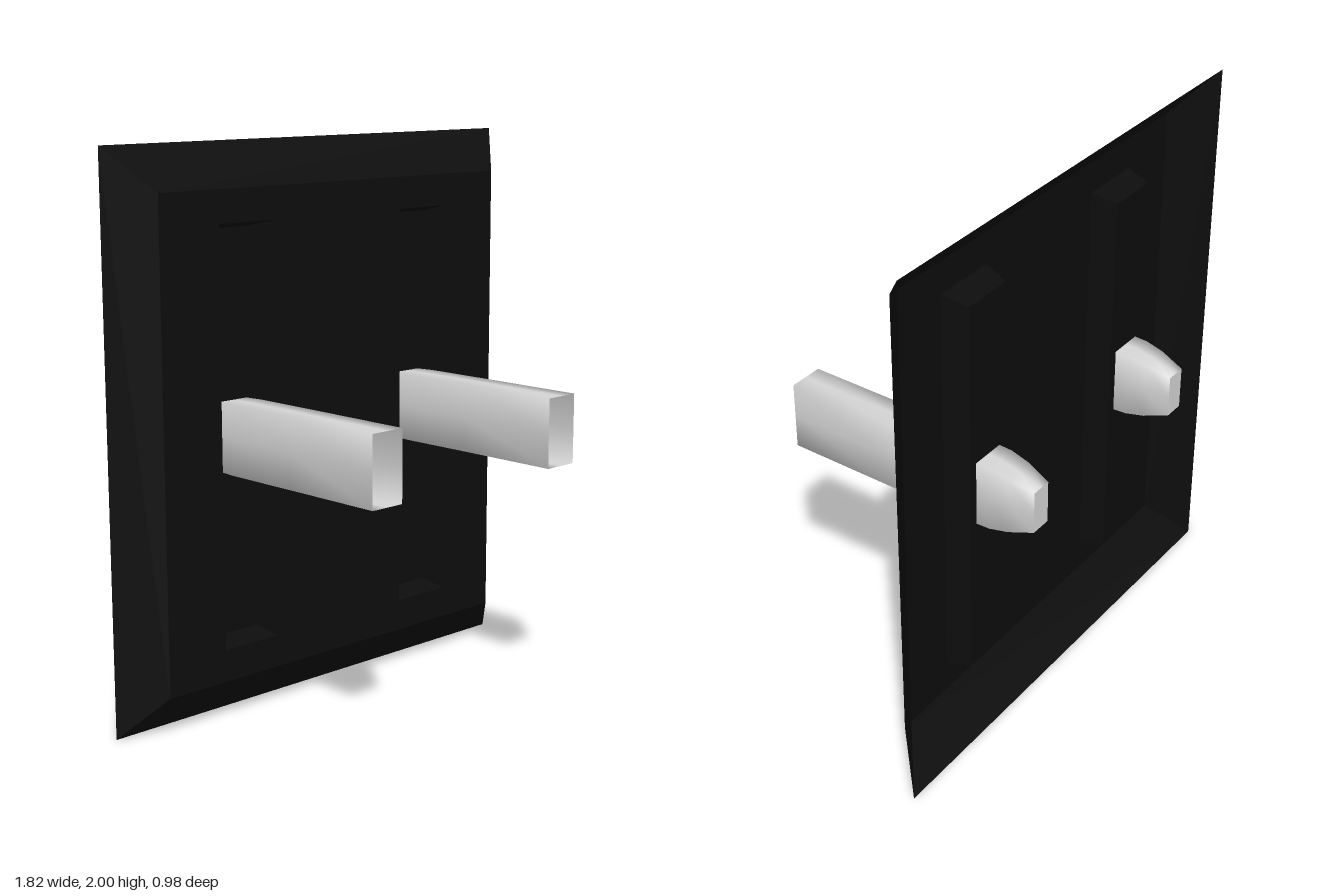
import * as THREE from 'three';

const black = new THREE.MeshStandardMaterial({ color: 0x0d0d0d, side: THREE.DoubleSide });
black.name = 'black plastic';
const silver = new THREE.MeshStandardMaterial({ color: 0xd4d4d4, side: THREE.DoubleSide });
silver.name = 'silver metal';

// Corners (and side midpoints) of an upright rectangle, counter-clockwise from the front
const CORNERS = [[-1, -1], [1, -1], [1, 1], [-1, 1]];
const EIGHT = [[-1, -1], [0, -1], [1, -1], [1, 0], [1, 1], [0, 1], [-1, 1], [-1, 0]];

// Skin over rectangular rings [halfWidth, halfHeight, z, centreY], listed front to back
function loft(rings, outline, smooth) {
  const n = outline.length;
  const positions = [];
  const index = [];
  for (const [w, h, z, cy] of rings) {
    for (const [x, y] of outline) positions.push(x * w, cy + y * h, z);
  }
  for (let r = 0; r < rings.length - 1; r++) {
    for (let i = 0; i < n; i++) {
      const a = r * n + i;
      const b = r * n + (i + 1) % n;
      index.push(a, a + n, b, b, a + n, b + n);
    }
  }
  let geometry = new THREE.BufferGeometry();
  geometry.setAttribute('position', new THREE.Float32BufferAttribute(positions, 3));
  geometry.setIndex(index);
  if (!smooth) geometry = geometry.toNonIndexed();
  geometry.computeVertexNormals();
  return geometry;
}

function rectangle(Type, x, y, w, h) {
  return new Type(CORNERS.map(([sx, sy]) => new THREE.Vector2(x + sx * w, y + sy * h)));
}

export function createModel() {
  const group = new THREE.Group();
  const add = (name, geometry, material, x = 0, y = 0, z = 0) => {
    const mesh = new THREE.Mesh(geometry, material);
    mesh.name = name;
    mesh.position.set(x, y, z);
    group.add(mesh);
  };

  const faceZ = -0.19;
  const floorZ = -0.28;
  const slotX = 0.418;

  // Front face with two tall slot openings
  const face = rectangle(THREE.Shape, 0, 1, 0.78, 0.85);
  for (const side of [-1, 1]) {
    face.holes.push(rectangle(THREE.Path, side * slotX, 1, 0.118, 0.735));
  }
  add('plateFace', new THREE.ShapeGeometry(face), black, 0, 0, faceZ);

  // Sloping border, open at the back
  add('plateBevel', loft([[0.78, 0.85, faceZ, 1], [0.91, 1, -0.325, 1]], CORNERS, false), black);

  for (const side of [-1, 1]) {
    const label = side > 0 ? 'left' : 'right';

    // Recessed slot pushed back through the plate
    add(label + 'SlotWalls',
      loft([[0.118, 0.735, faceZ, 1], [0.097, 0.712, floorZ, 1]], CORNERS, false), black, side * slotX);
    add(label + 'SlotFloor', new THREE.PlaneGeometry(0.194, 1.424), black, side * slotX, 1, floorZ);

    // Hollow prong, open in front, rounded towards the closed rear tip
    add(label + 'Prong', loft([
      [0.065, 0.124, 0.49, 1.004],
      [0.065, 0.124, 0.1, 1.001],
      [0.065, 0.124, -0.2, 0.998],
      [0.064, 0.119, -0.33, 0.997],
      [0.058, 0.105, -0.4, 0.996],
      [0.039, 0.078, -0.49, 0.994],
    ], EIGHT, true), silver, side * slotX);
    const tip = new THREE.PlaneGeometry(0.078, 0.156).rotateY(Math.PI);
    add(label + 'ProngTip', tip, silver, side * slotX, 0.994, -0.49);
  }
  return group;
}
